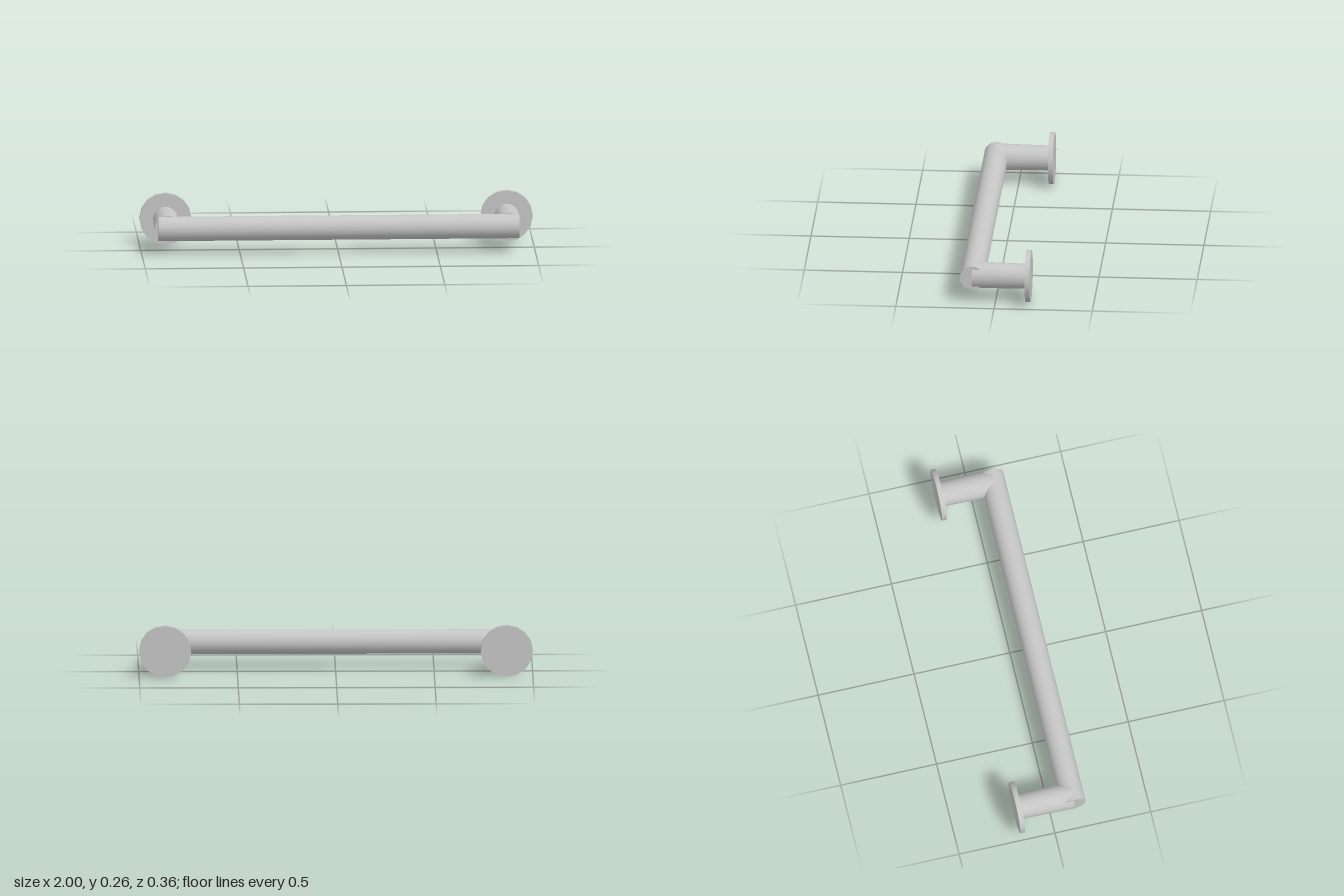
import * as THREE from 'three';

export function createModel() {
  const group = new THREE.Group();
  group.name = 'grabBar';
  const metal = new THREE.MeshStandardMaterial({ color: 0xc6c6c6 });
  metal.name = 'brushed metal';

  const axisY = 0.1325; // shared height of bar, posts and flanges

  // Cylinder lying along z, from zBack to zFront
  function roundAlongZ(name, rFront, rBack, zBack, zFront, x, sides) {
    const geo = new THREE.CylinderGeometry(rFront, rBack, zFront - zBack, sides);
    geo.rotateX(Math.PI / 2);
    const mesh = new THREE.Mesh(geo, metal);
    mesh.name = name;
    mesh.position.set(x, axisY, (zFront + zBack) / 2);
    group.add(mesh);
  }

  // Horizontal bar
  const barGeo = new THREE.CylinderGeometry(0.0625, 0.0625, 1.834, 20);
  barGeo.rotateZ(Math.PI / 2);
  const bar = new THREE.Mesh(barGeo, metal);
  bar.name = 'bar';
  bar.position.set(0, axisY, 0.1175);
  group.add(bar);

  // Wall flange and slightly flared post at each end
  for (const [side, s] of [['left', 1], ['right', -1]]) {
    roundAlongZ(side + 'Flange', 0.1325, 0.1325, -0.18, -0.155, s * 0.8675, 16);
    roundAlongZ(side + 'Post', 0.068, 0.063, -0.155, 0.118, s * 0.8675, 20);
  }
  return group;
}
